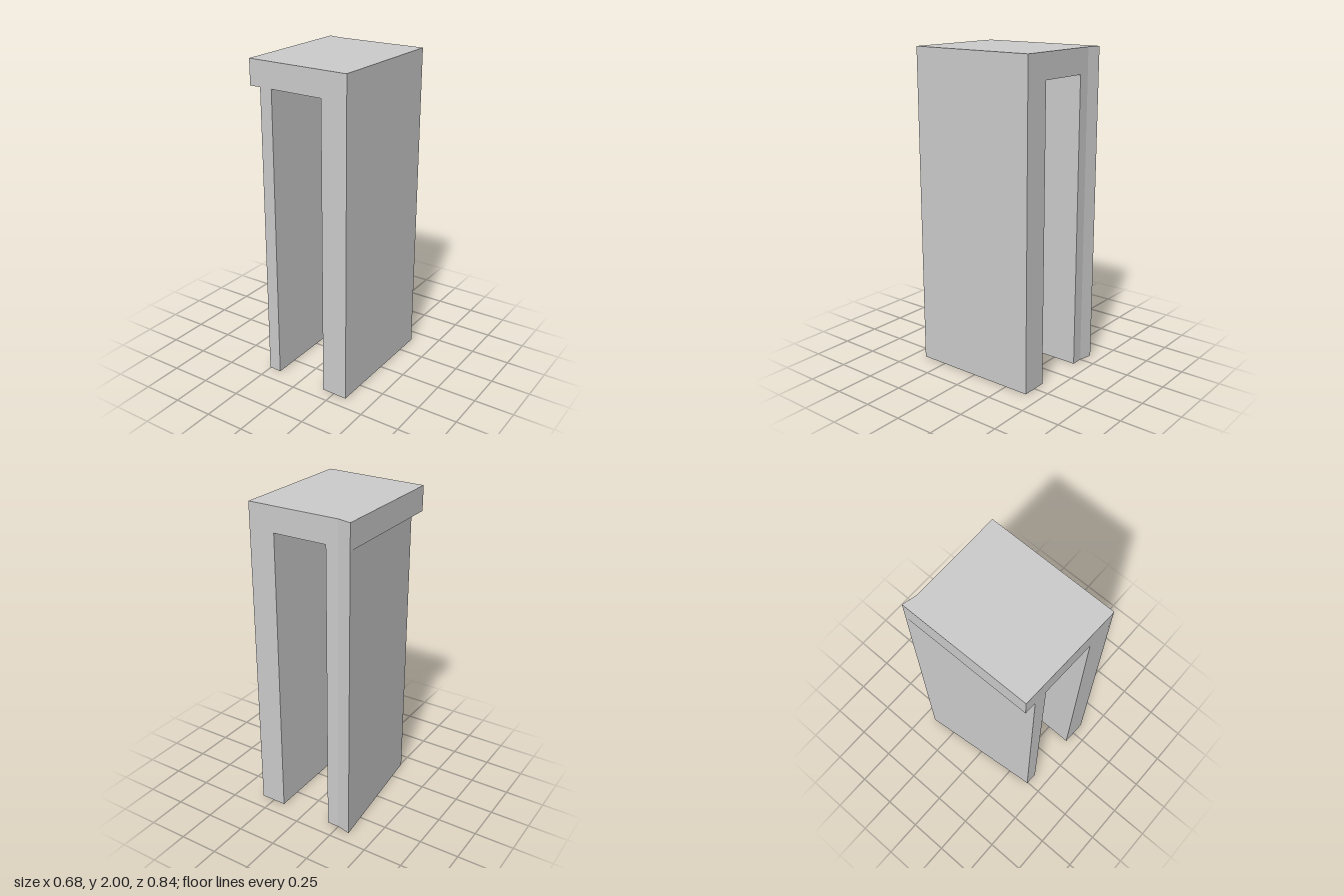
import * as THREE from 'three';

const material = new THREE.MeshStandardMaterial({ color: 0xcccccc, flatShading: true });
const LEG_TOP = 1.845;
const TOP = 2;

// Vertical prism from an [x, z] footprint, spanning y0 to y1
function prism(name, footprint, y0, y1) {
  const shape = new THREE.Shape(footprint.map(([x, z]) => new THREE.Vector2(x, -z)));
  const geometry = new THREE.ExtrudeGeometry(shape, { depth: y1 - y0, bevelEnabled: false });
  geometry.rotateX(-Math.PI / 2);
  geometry.translate(0, y0, 0);
  const mesh = new THREE.Mesh(geometry, material);
  mesh.name = name;
  return mesh;
}

export function createModel() {
  const group = new THREE.Group();
  group.name = 'arch';

  // Lintel with slightly skewed front and a flared back corner
  group.add(prism('lintel', [
    [-0.328, 0.4], [0.32, 0.42], [0.337, 0.418], [0.337, -0.402], [-0.25, -0.402], [-0.338, -0.422],
  ], LEG_TOP, TOP));

  // Straight leg
  group.add(prism('leftLeg', [
    [0.17, 0.415], [0.32, 0.419], [0.337, 0.418], [0.337, -0.402], [0.17, -0.402],
  ], 0, LEG_TOP));

  // Tapered leg, narrow at the front and flared at the back
  group.add(prism('rightLeg', [
    [-0.255, 0.402], [-0.173, 0.405], [-0.173, -0.402], [-0.25, -0.402], [-0.338, -0.422],
  ], 0, LEG_TOP));

  return group;
}
